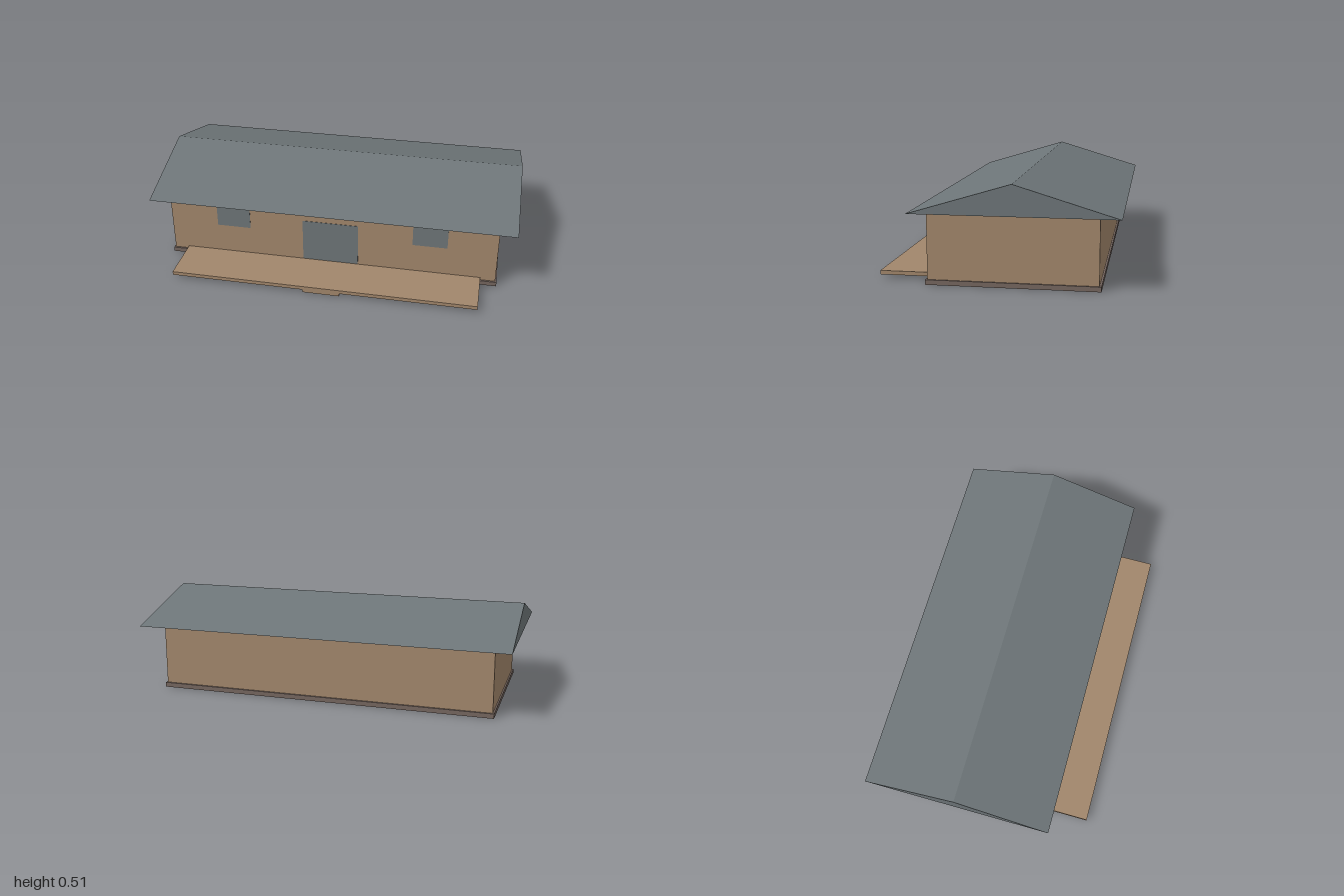
import * as THREE from 'three';

export function createModel() {
  const mat = (name, color) => {
    const m = new THREE.MeshStandardMaterial({ color });
    m.name = name;
    return m;
  };
  const wood = mat('tan wood', 0xa1866b);
  const slate = mat('slate grey', 0x6d7578);
  const stone = mat('brown stone', 0x74655e);

  const house = new THREE.Group();
  house.name = 'house';

  // Box given by its extents along each axis
  const box = (name, material, [x0, x1], [y0, y1], [z0, z1]) => {
    const mesh = new THREE.Mesh(new THREE.BoxGeometry(x1 - x0, y1 - y0, z1 - z0), material);
    mesh.position.set((x0 + x1) / 2, (y0 + y1) / 2, (z0 + z1) / 2);
    mesh.name = name;
    house.add(mesh);
  };

  box('foundation', stone, [-0.915, 0.915], [0, 0.025], [-0.505, 0.347]);
  box('walls', wood, [-0.907, 0.907], [0.025, 0.363], [-0.495, 0.337]);

  // Front porch and its step
  box('porchDeck', wood, [-0.827, 0.827], [0.019, 0.039], [0.337, 0.6]);
  box('porchStep', wood, [-0.1, 0.1], [0.003, 0.019], [0.55, 0.6]);

  // Thin plates on the front wall
  box('door', slate, [-0.154, 0.154], [0.041, 0.285], [0.335, 0.339]);
  for (const [name, x] of [['leftWindow', 0.546], ['rightWindow', -0.546]]) {
    box(name, slate, [x - 0.094, x + 0.094], [0.204, 0.344], [0.335, 0.339]);
  }

  // Gable roof: triangle in (z, y) extruded along x
  const gable = new THREE.Shape([
    new THREE.Vector2(-0.412, 0.362),
    new THREE.Vector2(0.6, 0.362),
    new THREE.Vector2(0.094, 0.514),
  ]);
  const roofGeometry = new THREE.ExtrudeGeometry(gable, { depth: 2, bevelEnabled: false });
  roofGeometry.translate(0, 0, -1).rotateY(Math.PI / 2);
  const roof = new THREE.Mesh(roofGeometry, slate);
  roof.name = 'roof';
  house.add(roof);

  return house;
}
